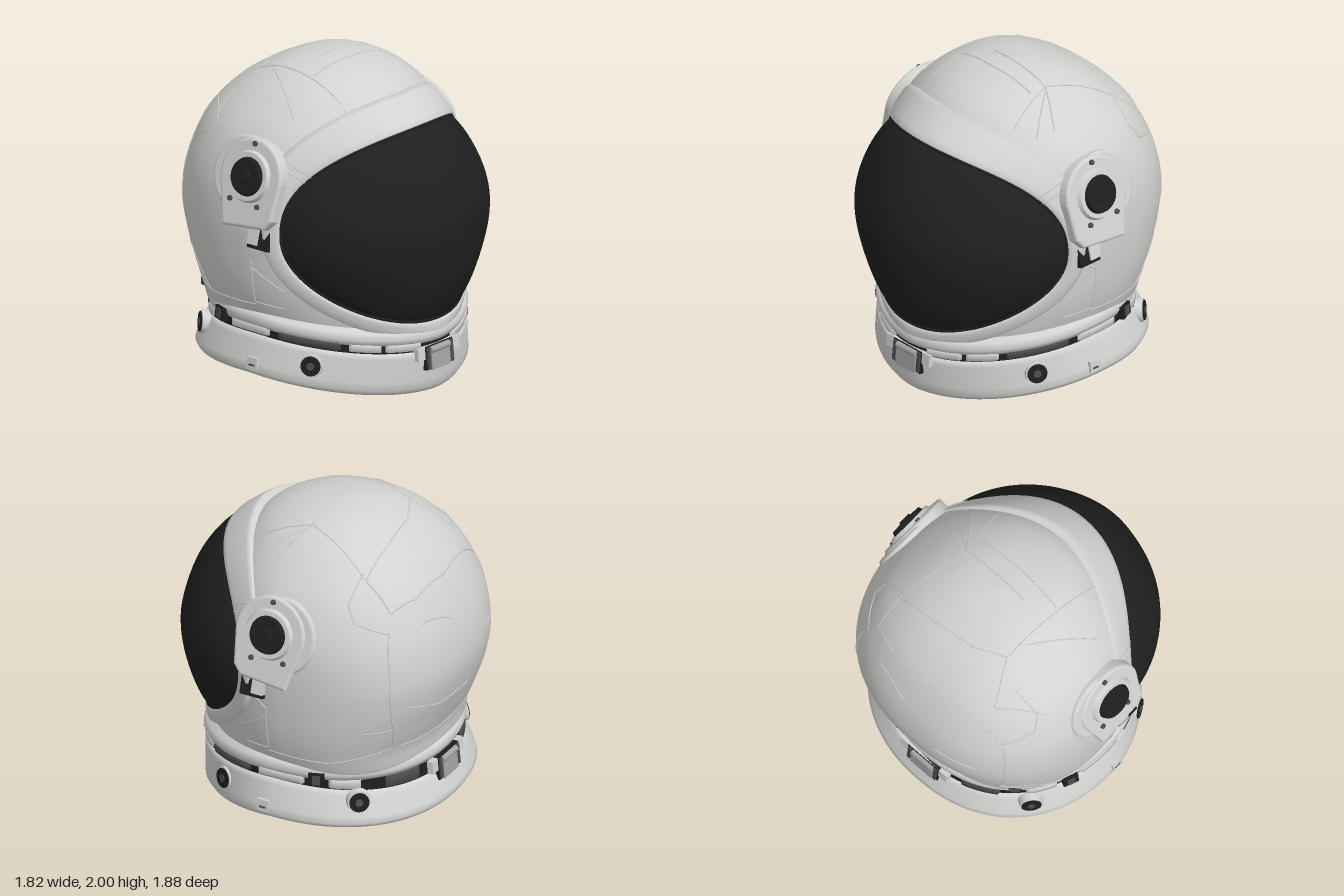
import * as THREE from 'three';

const mat = (name, color) => {
  const m = new THREE.MeshStandardMaterial({ color });
  m.name = name;
  return m;
};
const V = (x, y, z) => new THREE.Vector3(x, y, z);
const lerp = THREE.MathUtils.lerp;
const spow = (v, e) => Math.sign(v) * Math.abs(v) ** e;

// Grid surface from f(u, v) with u, v in 0..1; closed in u by default
function surface(f, nu, nv, closed = true) {
  const pos = [], idx = [], cols = closed ? nu : nu + 1;
  for (let j = 0; j <= nv; j++)
    for (let i = 0; i < cols; i++) pos.push(...f(i / nu, j / nv).toArray());
  for (let j = 0; j < nv; j++)
    for (let i = 0; i < nu; i++) {
      const a = j * cols + i, b = j * cols + (i + 1) % cols;
      idx.push(a, b, b + cols, a, b + cols, a + cols);
    }
  const g = new THREE.BufferGeometry();
  g.setAttribute('position', new THREE.Float32BufferAttribute(pos, 3));
  g.setIndex(idx);
  g.computeVertexNormals();
  return g;
}

// Shell cross-sections: height, half width, back z, front z
const ZC = -0.1, BACK = 2.35;
const RINGS = [
  [0.36, 0.69, -0.70, 0.66], [0.46, 0.75, -0.765, 0.72], [0.6, 0.80, -0.79, 0.71], [0.75, 0.83, -0.85, 0.69],
  [0.92, 0.845, -0.91, 0.67], [1.1, 0.85, -0.94, 0.67], [1.3, 0.835, -0.915, 0.65], [1.48, 0.785, -0.85, 0.6],
  [1.65, 0.695, -0.755, 0.53], [1.8, 0.55, -0.61, 0.45], [1.9, 0.41, -0.45, 0.33], [1.97, 0.24, -0.29, 0.14],
  [2.0, 0.001, -0.101, -0.099]];
const heightCurve = new THREE.SplineCurve(RINGS.map((r, i) => new THREE.Vector2(i, r[0])));
const sizeCurve = new THREE.CatmullRomCurve3(RINGS.map(r => V(r[1], r[2], r[3])), false, 'catmullrom');
const ROWS = Array.from({ length: 73 }, (_, i) => {
  const s = sizeCurve.getPoint(i / 72);
  return { y: heightCurve.getPoint(i / 72).y, x: s.x, b: ZC - s.y, f: s.z - ZC };
});
function shellPoint(u, v) {
  const r = ROWS[Math.round(v * 72)], a = u * Math.PI * 2, c = Math.cos(a), e = c < 0 ? 2 / BACK : 1;
  return V(r.x * spow(Math.sin(a), e), r.y, ZC + (c < 0 ? r.b : r.f) * spow(c, e));
}
function inShell(p) {
  const i = ROWS.findIndex(r => r.y >= p.y);
  if (i < 1) return false;
  const a = ROWS[i - 1], b = ROWS[i], t = (p.y - a.y) / (b.y - a.y), d = p.z - ZC, e = d < 0 ? BACK : 2;
  const rz = d < 0 ? lerp(a.b, b.b, t) : lerp(a.f, b.f, t);
  return Math.abs(p.x / lerp(a.x, b.x, t)) ** e + Math.abs(d / rz) ** e < 1;
}
// Surface point of the shell met from o in direction d
function cast(o, d) {
  let lo = 0, hi = 1.3;
  for (let i = 0; i < 24; i++) {
    const m = (lo + hi) / 2;
    if (inShell(o.clone().addScaledVector(d, m))) lo = m; else hi = m;
  }
  return o.clone().addScaledVector(d, lo);
}
const CAST = {
  top: (x, z) => cast(V(x, 1.1, z), V(0, 1, 0)),
  back: (x, y) => cast(V(x, y, ZC), V(0, 0, -1)),
  right: (z, y) => cast(V(0, y, z), V(1, 0, 0)),
  left: (z, y) => cast(V(0, y, z), V(-1, 0, 0)),
};

// Visor: dome over a rounded oval whose edge sweeps back at the sides
function visorPoint(u, s) {
  const a = -u * Math.PI * 2, c = Math.cos(a), h = Math.sin(a);
  const edge = 0.2 + (h > 0 ? 0.45 * h ** 2.4 : 0.57 * h * h);
  const dome = Math.max(0, 1 - s * s) ** (0.54 + 0.3 * h * h);
  return V(s * 0.795 * spow(c, 0.95), 1.07 + s * 0.605 * spow(h, 0.95), edge + (0.94 - edge) * dome);
}

// Frame round the visor, widening to a brim at the top: [distance outward, height]
const FRAME = [[-0.04, -0.05], [-0.02, 0.004], [0.06, 0.02], [0.2, 0.026], [0.5, 0.028], [0.85, 0.025], [0.98, 0.016], [1.02, -0.06]];
function framePoint(u, v) {
  const a = -u * Math.PI * 2, c = Math.cos(a), up = Math.max(0, Math.sin(a)), down = Math.max(0, -Math.sin(a));
  const [k, n] = FRAME[Math.round(v * (FRAME.length - 1))], p = visorPoint(u, 1);
  const out = p.clone().sub(V(0, 1.05, -0.1)).normalize();
  const d = V(0.05 * c + 0.05 * c * up, 0.165 * up - 0.1 * down, -0.1 * Math.abs(c) - 0.2 * up);
  return p.addScaledVector(d, k).addScaledVector(out, n);
}

// Neck ring helpers: angle 0 is the front; heights vary from front to side to back
function oval(a, rx, y, rz, zc) {
  const c = Math.cos(a), e = c > 0 ? 1.1 : 0.92;
  return V(rx * spow(Math.sin(a), e), y, zc + rz * spow(c, e));
}
const heights = (front, side, back) => a => {
  const c = Math.cos(a);
  return side + ((c > 0 ? front : back) - side) * Math.abs(c) ** 1.5;
};
const bottomY = heights(0.005, 0.15, 0.12), topY = heights(0.28, 0.39, 0.32), lipY = heights(0.365, 0.475, 0.455);
const COLLAR = [[0, 0.8, 0.77, -0.045], [0, 0.835, 0.8, -0.045], [0.12, 0.85, 0.82, -0.04], [0.3, 0.84, 0.817, -0.035],
  [0.85, 0.797, 0.797, -0.005], [0.97, 0.785, 0.787, 0], [1, 0.74, 0.74, 0]];
const LIP = [[-0.03, 0.74], [-0.037, 0.785], [0, 0.8], [0.04, 0.787], [0.07, 0.73]];

export function createModel() {
  const shell = mat('shell grey', 0xd2d3d1), visor = mat('visor black', 0x1f1f1f);
  const metal = mat('metal grey', 0xa2a3a2), plateMat = mat('dark plate grey', 0x4c4d4c);
  const root = new THREE.Group();
  const add = (name, geo, m, parent = root) => {
    const mesh = new THREE.Mesh(geo, m);
    mesh.name = name;
    parent.add(mesh);
    return mesh;
  };

  add('shell', surface(shellPoint, 96, 72), shell);
  add('visor', surface((u, v) => visorPoint(u, Math.sin(v * Math.PI / 2)), 96, 28), visor);
  add('visorFrame', surface(framePoint, 120, FRAME.length - 1), shell);
  const rim = Array.from({ length: 80 }, (_, i) => visorPoint(i / 80, 1));
  add('visorSeal', new THREE.TubeGeometry(new THREE.CatmullRomCurve3(rim, true), 160, 0.014, 6, true), visor);

  // Raised panel seams laid on the shell
  const tube = (pts, r) => new THREE.TubeGeometry(new THREE.CatmullRomCurve3(pts), pts.length * 2, r, 5);
  const seam = (side, path) => {
    const pts = [];
    path.forEach((p, i) => {
      const q = path[i + 1];
      for (let k = 0; k < (q ? 7 : 1); k++)
        pts.push(CAST[side](q ? lerp(p[0], q[0], k / 7) : p[0], q ? lerp(p[1], q[1], k / 7) : p[1]));
    });
    add('panelSeam', tube(pts, 0.0045), shell);
  };
  [[[-0.35, 0.35], [-0.3, -0.38], [-0.1, -0.47], [0.2, -0.5], [0.48, -0.5], [0.33, -0.05], [0.4, 0.28]],
    [[-0.31, 0.05], [0, 0.07], [0.32, 0.06]], [[-0.14, -0.06], [0.33, -0.05]], [[0.33, -0.05], [0.55, 0.08]],
    [[0.34, -0.05], [0.52, 0.2]], [[-0.3, -0.38], [-0.42, -0.62], [-0.66, -0.42]], [[-0.34, -0.25], [-0.58, 0.12]],
    [[-0.52, -0.7], [-0.25, -0.74], [0, -0.77], [0.3, -0.75], [0.49, -0.68], [0.48, -0.5]],
    [[0.1, -0.88], [0.35, -0.81]]].forEach(p => seam('top', p));
  for (const side of ['right', 'left'])
    [[[-0.47, 1.78], [-0.46, 1.64], [-0.52, 1.54], [-0.7, 1.46], [-0.74, 1.2], [-0.74, 0.95], [-0.73, 0.8], [-0.7, 0.64]],
      [[0.08, 0.95], [0, 0.9], [0, 0.6], [0.18, 0.58]], [[0, 0.58], [-0.4, 0.57], [-0.6, 0.8], [-0.73, 0.8]],
      [[-0.4, 0.57], [-0.7, 0.64]], [[0, 0.83], [0.2, 0.7]]].forEach(p => seam(side, p));
  [[[-0.47, 1.15], [-0.2, 1.18]], [[-0.45, 0.64], [0, 0.62], [0.45, 0.64]],
    [[0.5, 0.95], [0.25, 0.88], [-0.1, 0.88]]].forEach(p => seam('back', p));
  for (const u of [0.09, 0.1, 0.4, 0.41]) {
    const across = [1, 2, 3, 4, 5, 6].map(j => framePoint(1 - u, j / 7));
    add('brimSeam', tube(across, 0.004), shell);
  }

  // Neck: lip, dark band with fitted segments, flared collar, closed underside
  const turn = u => u * Math.PI * 2;
  add('neckLip', surface((u, v) => {
    const [dy, k] = LIP[Math.round(v * 4)];
    return oval(turn(u), k, lipY(turn(u)) + dy, k, 0);
  }, 96, 4), shell);
  add('neckBand', surface((u, v) => oval(turn(u), 0.774, lerp(topY(turn(u)) - 0.02, lipY(turn(u)), v), 0.774, 0), 96, 1), visor);
  add('collar', surface((u, v) => {
    const [t, rx, rz, zc] = COLLAR[Math.round(v * 6)], a = turn(u);
    return oval(a, rx, lerp(bottomY(a), topY(a), t), rz, zc);
  }, 96, 6), shell);
  add('underside', surface((u, v) => oval(turn(u), 0.805 * v, lerp(0.1, bottomY(turn(u)) + 0.003, v), 0.775 * v, -0.045), 96, 8), visor);
  const segment = (a0, a1, m) => add('bandSegment', surface((u, v) => {
    const a = lerp(a0, a1, u), edge = u === 0 || u === 1 || v === 0 || v === 1, r = edge ? 0.765 : 0.793;
    const t = [0.05, 0.1, 0.62, 0.68][Math.round(v * 3)];
    return oval(a, r, lerp(topY(a), lipY(a), t), r, 0);
  }, 14, 3, false), m);
  for (const s of [1, -1])
    for (const [a, b, m] of [[0.2, 0.52, shell], [0.54, 0.8, shell], [0.84, 1.36, plateMat], [1.42, 1.84, shell],
      [2.02, 2.3, shell], [2.5, 2.85, plateMat]]) segment(s > 0 ? a : -b, s > 0 ? b : -a, m);

  // Fittings placed on the collar and shell, facing outward
  const fitting = (name, x, y, z) => {
    const g = new THREE.Group();
    g.name = name;
    g.position.set(x, y, z);
    g.lookAt(x * 2, y + 0.1 * Math.hypot(x, z), z * 2);
    root.add(g);
    return g;
  };
  const box = (name, w, h, d, x, y, z, m, parent) => add(name, new THREE.BoxGeometry(w, h, d), m, parent).position.set(x, y, z);
  const disc = (name, r1, r2, h, z, m, parent) =>
    add(name, new THREE.CylinderGeometry(r1, r2, h, 32).rotateX(Math.PI / 2), m, parent).position.set(0, 0, z);
  for (const s of [1, -1]) {
    for (const [x, y, z] of [[0.685, 0.24, 0.355], [0.645, 0.3, -0.54]]) {
      const g = fitting('collarPort', s * x, y, z);
      disc('portRing', 0.071, 0.078, 0.05, 0, shell, g);
      disc('portPlug', 0.062, 0.064, 0.06, 0.002, visor, g);
      disc('portCore', 0.024, 0.024, 0.068, 0.002, plateMat, g);
    }
    const tab = fitting('sideTab', s * 0.825, 0.215, 0.015);
    box('tabPlate', 0.08, 0.075, 0.05, 0, 0, 0, shell, tab);
    box('tabSlot', 0.045, 0.012, 0.054, 0, -0.01, 0, plateMat, tab);
    const clip = fitting('bandClip', s * 0.735, 0.44, -0.3);
    box('clipBody', 0.1, 0.08, 0.04, 0, 0, 0.02, visor, clip);
    box('clipBar', 0.05, 0.06, 0.05, 0, 0, 0.022, plateMat, clip);
  }
  for (const [y, z] of [[0.225, 0.77], [0.33, -0.79]]) {
    const b = fitting('buckle', 0, y, z);
    box('bucklePlate', 0.38, 0.08, 0.04, 0, 0.04, 0, shell, b);
    box('buckleFrame', 0.25, 0.15, 0.045, 0, 0.005, 0, visor, b);
    box('buckleLatch', 0.17, 0.11, 0.06, 0, -0.02, 0.005, metal, b);
    for (const x of [-0.105, 0.105]) box('buckleArm', 0.025, 0.13, 0.06, x, 0.005, 0.004, plateMat, b);
    add('bucklePin', new THREE.CylinderGeometry(0.022, 0.022, 0.17, 16).rotateZ(Math.PI / 2), metal, b).position.set(0, 0.05, 0.025);
  }
  // Single vent low on the back right
  const vent = fitting('rearVent', -0.572, 0.55, -0.6);
  disc('ventCap', 0.04, 0.055, 0.04, 0, plateMat, vent);

  // Ear modules: outlines given as [forward, up] from the dial centre
  const arc = (r, f0, a0, a1) => Array.from({ length: 25 }, (_, i) => {
    const a = lerp(a0, a1, i / 24);
    return [f0 + r * Math.cos(a), r * Math.sin(a)];
  });
  for (const s of [1, -1]) {
    const ear = new THREE.Group();
    ear.name = s > 0 ? 'leftEarModule' : 'rightEarModule';
    ear.position.set(s * 0.71, 1.38, -0.02);
    ear.rotation.set(-0.27, s * Math.PI / 2, 0, 'YXZ');
    root.add(ear);
    const plate = (name, pts, depth) => add(name, new THREE.ExtrudeGeometry(
      new THREE.Shape(pts.map(([f, h]) => new THREE.Vector2(-s * f, h))),
      { depth, bevelThickness: 0.02, bevelSize: 0.02, bevelSegments: 4 }), shell, ear);
    plate('earBackPlate', [...arc(0.225, -0.06, 0.4, 4.3), [0, -0.24]], 0.085);
    plate('earPlate', [...arc(0.22, 0, 0, 3.5), [-0.17, -0.2], [-0.14, -0.31], [0.16, -0.28], [0.2, -0.23]], 0.1);
    disc('dialSeat', 0.15, 0.17, 0.04, 0.125, shell, ear);
    disc('dial', 0.11, 0.132, 0.05, 0.145, visor, ear);
    disc('dialCap', 0.04, 0.05, 0.02, 0.173, visor, ear);
    for (const [f, h] of [[0, 0.205], [0.1, -0.17], [-0.12, -0.16]]) {
      const rivet = add('earRivet', new THREE.CylinderGeometry(0.016, 0.018, 0.02, 12).rotateX(Math.PI / 2), plateMat, ear);
      rivet.position.set(-s * f, h, 0.123);
    }
    box('earClip', 0.08, 0.11, 0.1, -s * 0.14, -0.36, 0.005, visor, ear);
    box('earClipTab', 0.08, 0.1, 0.1, -s * 0.06, -0.36, 0.015, shell, ear);
    box('earClipFoot', 0.16, 0.025, 0.1, -s * 0.1, -0.42, 0.005, visor, ear);
  }
  return root;
}
